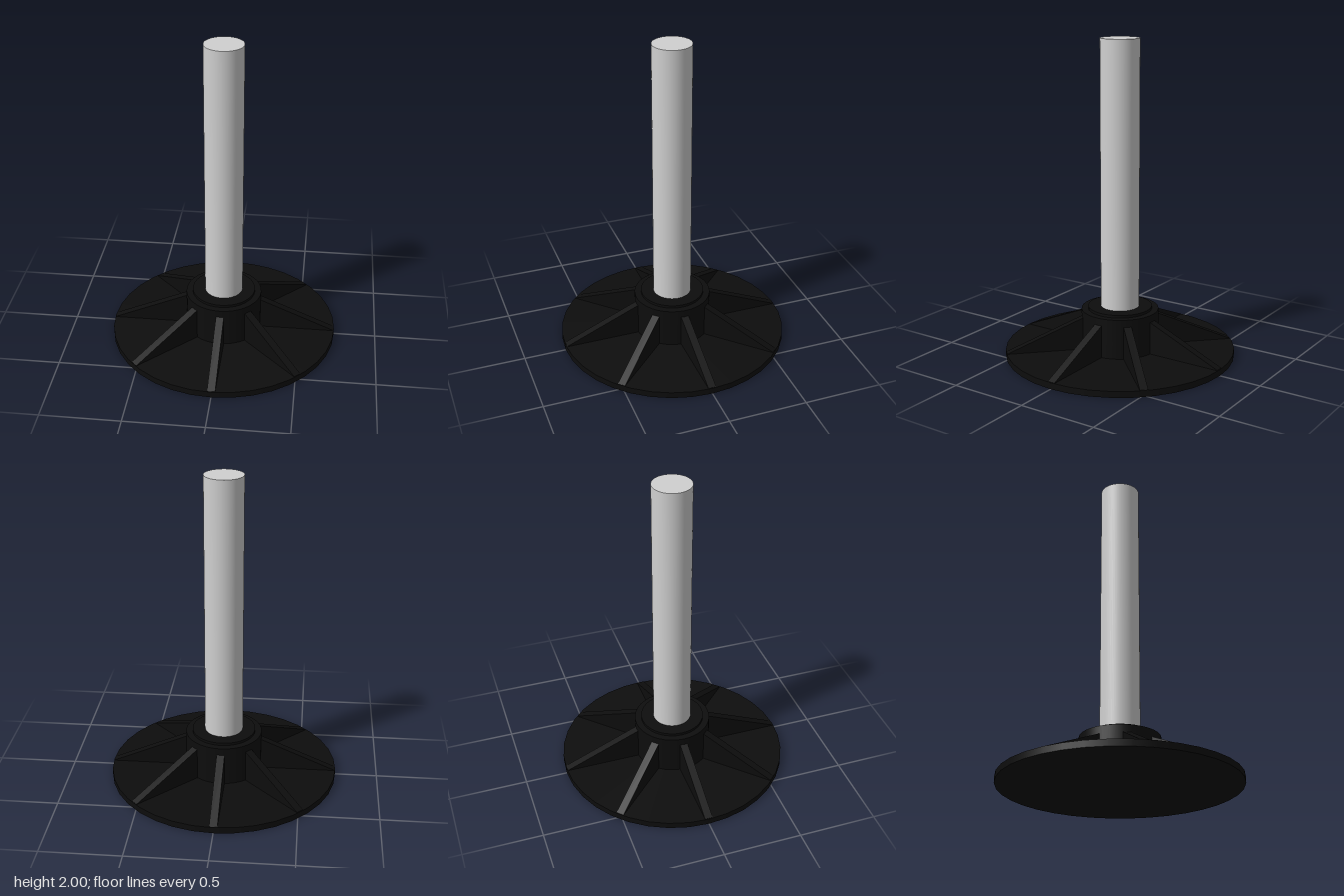
import * as THREE from 'three';

export function createModel() {
  const model = new THREE.Group();
  model.name = 'levelingFoot';

  const steel = new THREE.MeshStandardMaterial({ color: 0xd0d0d0 });
  steel.name = 'light steel';
  const plastic = new THREE.MeshStandardMaterial({ color: 0x0d0d0d });
  plastic.name = 'black plastic';

  const add = (name, geometry, material, parent = model) => {
    const mesh = new THREE.Mesh(geometry, material);
    mesh.name = name;
    parent.add(mesh);
    return mesh;
  };

  // Upright cylinder spanning y0 to y1
  const cylinder = (name, radius, y0, y1, sides, material) => {
    add(name, new THREE.CylinderGeometry(radius, radius, y1 - y0, sides), material)
      .position.y = (y0 + y1) / 2;
  };

  cylinder('baseDisc', 0.73, 0, 0.04, 36, plastic);
  cylinder('hub', 0.245, 0.04, 0.295, 36, plastic);
  cylinder('hubLip', 0.203, 0.295, 0.312, 36, plastic);
  cylinder('post', 0.122, 0.3, 2, 64, steel);

  // Eight sloping ribs from the hub to the rim
  const ribWidth = 0.05;
  const profile = new THREE.Shape([
    new THREE.Vector2(0.2, 0.03),
    new THREE.Vector2(0.725, 0.03),
    new THREE.Vector2(0.725, 0.042),
    new THREE.Vector2(0.24, 0.25),
    new THREE.Vector2(0.2, 0.25),
  ]);
  const ribGeometry = new THREE.ExtrudeGeometry(profile, { depth: ribWidth, bevelEnabled: false });
  ribGeometry.translate(0, 0, -ribWidth / 2);

  const ribs = new THREE.Group();
  ribs.name = 'ribs';
  model.add(ribs);
  for (let i = 0; i < 8; i++) {
    add('rib', ribGeometry, plastic, ribs).rotation.y = (i * Math.PI) / 4;
  }

  return model;
}
